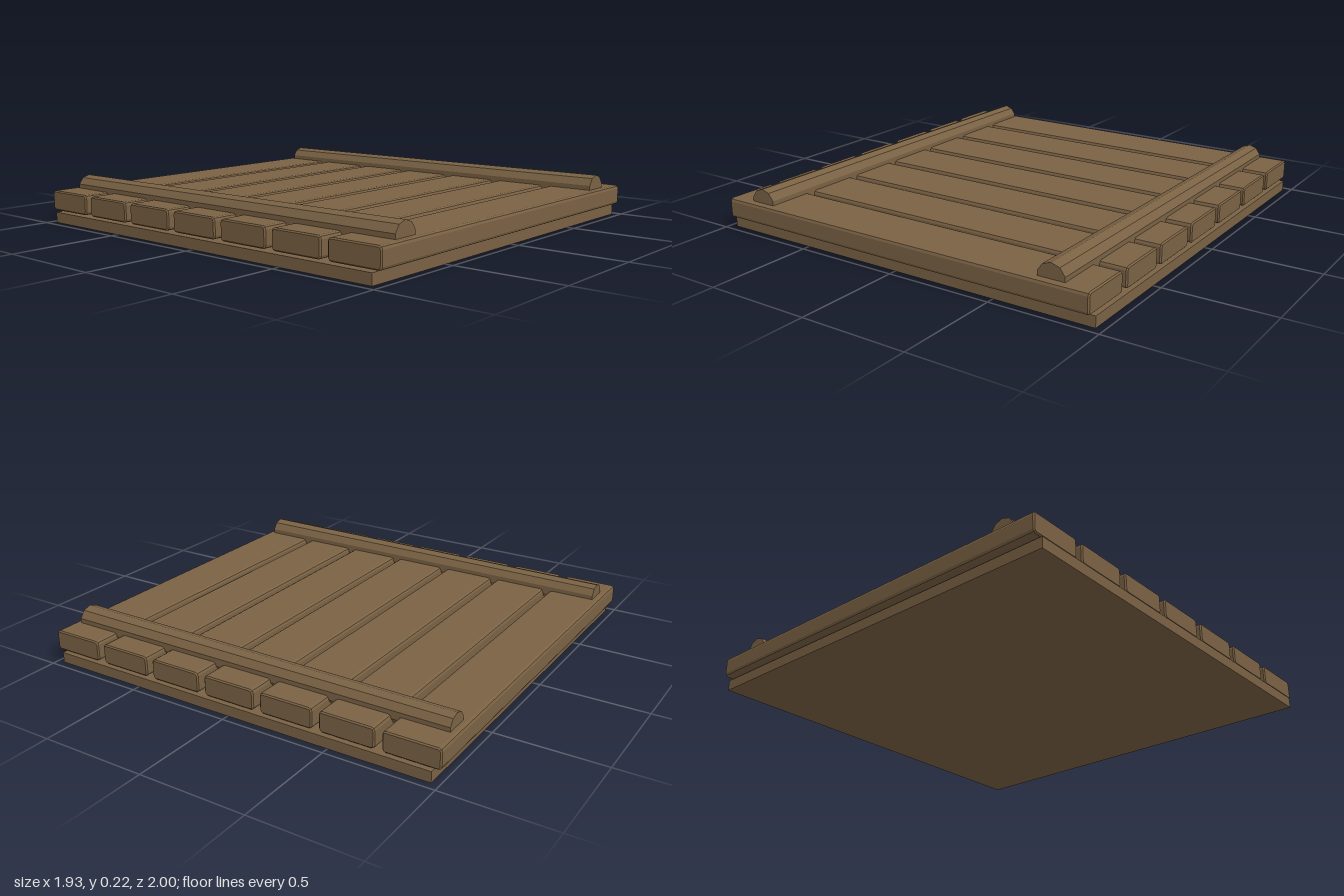
import * as THREE from 'three';

// Bar running along x with a chamfer on every edge
function chamferedPlank(length, height, width, c) {
  const w = width / 2, h = height / 2, b = c / 2;
  const s = new THREE.Shape();
  s.moveTo(-w + c, -h);
  s.lineTo(w - c, -h);
  s.lineTo(w - b * 0.6, -h + b * 0.6);
  s.lineTo(w, -h + c);
  s.lineTo(w, h - c);
  s.lineTo(w - b * 0.6, h - b * 0.6);
  s.lineTo(w - c, h);
  s.lineTo(-w + c, h);
  s.lineTo(-w + b * 0.6, h - b * 0.6);
  s.lineTo(-w, h - c);
  s.lineTo(-w, -h + c);
  s.lineTo(-w + b * 0.6, -h + b * 0.6);
  s.closePath();
  const e = 0.006;
  const geo = new THREE.ExtrudeGeometry(s, {
    depth: length - 2 * e, bevelEnabled: true, bevelSegments: 1,
    bevelSize: e, bevelOffset: -e, bevelThickness: e,
  });
  geo.translate(0, 0, -length / 2 + e);
  geo.rotateY(Math.PI / 2);
  return geo;
}

export function createModel() {
  const model = new THREE.Group();
  model.name = 'woodenPlatform';
  const wood = new THREE.MeshStandardMaterial({ color: 0x7a6244, flatShading: true });
  wood.name = 'brown wood';

  const add = (name, geo, x, y, z) => {
    const mesh = new THREE.Mesh(geo, wood);
    mesh.name = name;
    mesh.position.set(x, y, z);
    model.add(mesh);
    return mesh;
  };

  // Flat backing board
  add('baseBoard', new THREE.BoxGeometry(1.93, 0.05, 1.93), 0, 0.025, 0);

  // Seven deck planks with narrow gaps
  const plank = chamferedPlank(1.91, 0.094, 0.257, 0.015);
  for (let i = 0; i < 7; i++) add('plank' + (i + 1), plank, 0, 0.104, (i - 3) * 0.2905);

  // Ten-sided poles half sunk into the deck, thinner toward the back
  const pole = new THREE.CylinderGeometry(0.066, 0.059, 1.935, 10, 3);
  pole.rotateX(Math.PI / 2); // top end to the front, one edge upward
  for (const side of [-1, 1]) {
    add(side > 0 ? 'leftPole' : 'rightPole', pole, side * 0.77, 0.152, 0).rotation.z = Math.PI;
  }
  return model;
}
